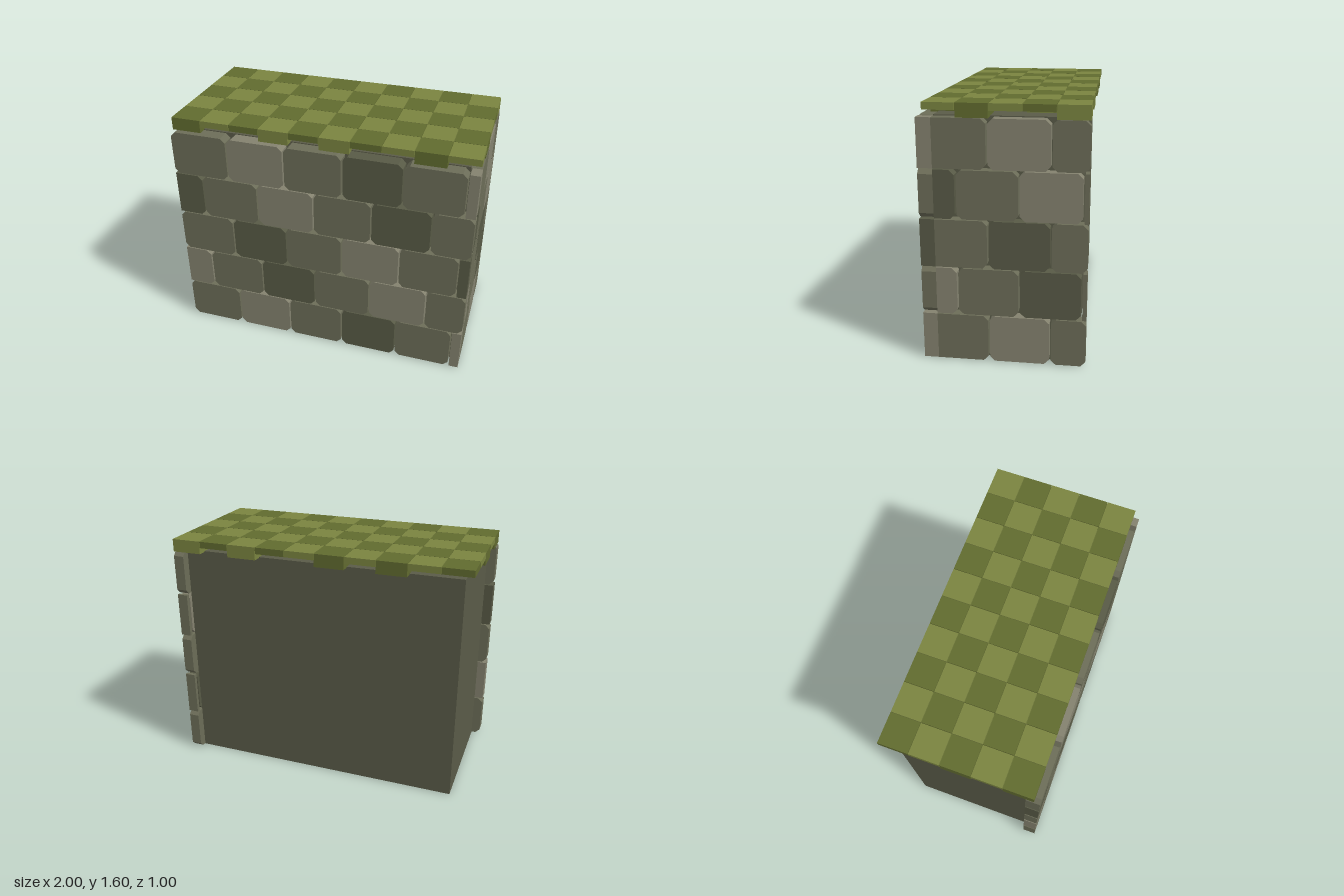
import * as THREE from 'three';

const mat = (color) => new THREE.MeshStandardMaterial({ color, flatShading: true });

export function createModel() {
  const model = new THREE.Group();
  const stone = { M: mat(0x6c6d58), L: mat(0x84826f), D: mat(0x585a46) };
  const grass = [mat(0x616b2f), mat(0x7a8440)];
  const mortar = mat(0x5a5b48);

  const box = (name, material, x0, x1, y0, y1, z0, z1, parent = model) => {
    const mesh = new THREE.Mesh(new THREE.BoxGeometry(x1 - x0, y1 - y0, z1 - z0), material);
    mesh.position.set((x0 + x1) / 2, (y0 + y1) / 2, (z0 + z1) / 2);
    mesh.name = name;
    parent.add(mesh);
  };

  // Slab with clipped corners; cl and cr are the clip sizes at its left and right ends
  const brick = (name, material, u0, u1, y0, y1, depth, cl, cr, parent) => {
    const points = [
      [u0 + cl, y0], [u1 - cr, y0], [u1, y0 + cr], [u1, y1 - cr],
      [u1 - cr, y1], [u0 + cl, y1], [u0, y1 - cl], [u0, y0 + cl],
    ].map(([x, y]) => new THREE.Vector2(x, y))
      .filter((p, i, all) => i === 0 || !p.equals(all[i - 1]));
    if (points[0].equals(points[points.length - 1])) points.pop();
    const geometry = new THREE.ExtrudeGeometry(new THREE.Shape(points), { depth, bevelEnabled: false });
    const mesh = new THREE.Mesh(geometry, material);
    mesh.name = name;
    parent.add(mesh);
  };

  // Plain core behind the bricks
  box('wallCore', mortar, -0.94, 0.93, 0, 1.52, -0.44, 0.41);

  // Brick courses on the front and on the left side (+x)
  const front = new THREE.Group();
  front.name = 'frontBricks';
  front.position.z = 0.41;
  const side = new THREE.Group();
  side.name = 'sideBricks';
  side.position.x = 0.93;
  side.rotation.y = Math.PI / 2;
  model.add(front, side);

  const frontEdges = [
    [-1, -0.613, -0.226, 0.161, 0.548, 0.933, 1],
    [-1, -0.806, -0.419, -0.032, 0.355, 0.742, 1],
  ];
  const sideEdges = [
    [-0.41, -0.09, 0.283, 0.5],
    [-0.41, -0.278, 0.095, 0.47, 0.5],
  ];
  const frontTones = ['MLMDML', 'LMDMLM', 'MDMLMD', 'DMLMDM', 'MLMDML'];
  const sideTones = ['MLM', 'LMDM', 'MDM', 'DMLM', 'MLM'];
  const clip = 0.03, gap = 0.005;

  for (let row = 0; row < 5; row++) {
    const odd = row % 2;
    const y0 = 0.005 + row * 0.303, y1 = y0 + 0.297;
    const course = (edges, tones, depth, group, name, clipLeft, clipRight) => {
      for (let i = 0; i < edges.length - 1; i++) {
        const first = i === 0, last = i === edges.length - 2;
        const u0 = edges[i] + (first ? 0 : gap), u1 = edges[i + 1] - (last ? 0 : gap);
        const sliver = u1 - u0 < 0.1;
        brick(name, stone[tones[i]], u0, u1, y0, y1, depth,
          sliver || (first && !clipLeft) ? 0 : clip,
          sliver || (last && !clipRight) ? 0 : clip, group);
      }
    };
    course(frontEdges[odd], frontTones[row], 0.09, front, 'frontBrick', !odd, true);
    course(sideEdges[odd], sideTones[row], 0.07, side, 'sideBrick', false, true);
  }

  // Checkered grass tiles, some hanging lower than the rest
  const turf = new THREE.Group();
  turf.name = 'grassTop';
  model.add(turf);
  for (let col = 0; col < 10; col++) {
    for (let row = 0; row < 5; row++) {
      const x = -1 + col * 0.2, z = -0.5 + row * 0.193;
      const step = (col + row) % 5;
      const bottom = step === 2 || step === 4 ? 1.515 : 1.557;
      box('grassTile', grass[(col + row) % 2], x, x + 0.197, bottom, 1.6, z, z + 0.19, turf);
    }
  }
  return model;
}
